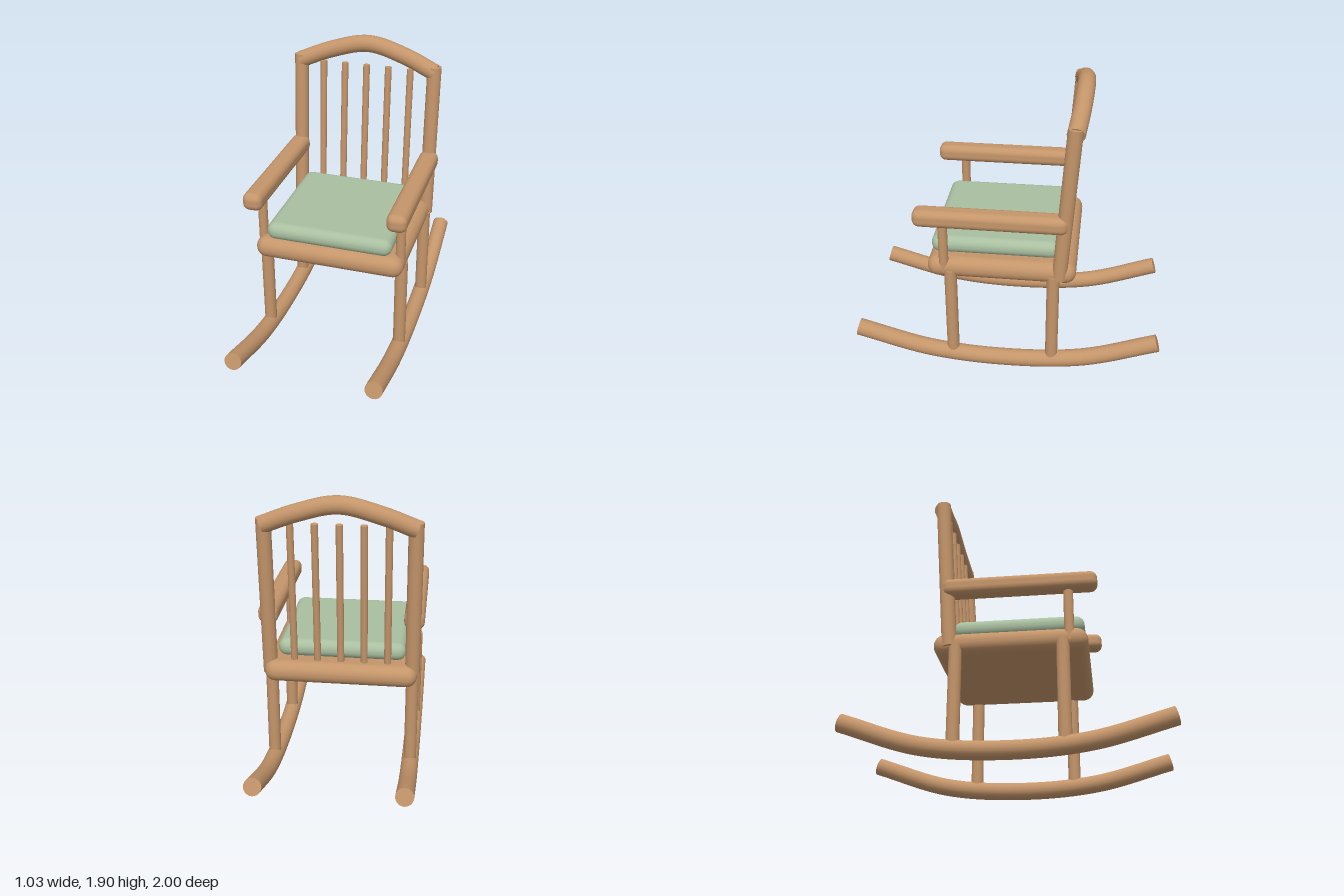
import * as THREE from 'three';
import { RoundedBoxGeometry } from 'three/addons/geometries/RoundedBoxGeometry.js';

const wood = new THREE.MeshStandardMaterial({ color: 0xc4956a });
const fabric = new THREE.MeshStandardMaterial({ color: 0xa9bfa0 });
const V = (x, y, z) => new THREE.Vector3(x, y, z);

export function createModel() {
  const chair = new THREE.Group();
  chair.name = 'rockingChair';

  const add = (name, geometry, material = wood) => {
    const mesh = new THREE.Mesh(geometry, material);
    mesh.name = name;
    chair.add(mesh);
    return mesh;
  };

  // Straight round bar between two points
  const bar = (name, a, b, radius) => {
    const mesh = add(name, new THREE.CylinderGeometry(radius, radius, a.distanceTo(b), 20));
    mesh.position.copy(a).add(b).multiplyScalar(0.5);
    mesh.quaternion.setFromUnitVectors(V(0, 1, 0), b.clone().sub(a).normalize());
  };

  // Bent round bar through points, closed by a disc at each end
  const bentBar = (name, points, radius) => {
    const curve = new THREE.CatmullRomCurve3(points);
    const tube = add(name, new THREE.TubeGeometry(curve, 48, radius, 20));
    for (const t of [0, 1]) {
      const cap = new THREE.Mesh(new THREE.CircleGeometry(radius, 20), wood);
      cap.name = name + 'End';
      cap.position.copy(curve.getPoint(t));
      cap.quaternion.setFromUnitVectors(V(0, 0, 1), curve.getTangent(t).multiplyScalar(t ? 1 : -1));
      tube.add(cap);
    }
  };

  // Rounded block given by its centre and size
  const block = (name, centre, [w, h, d], radius, material) => {
    add(name, new RoundedBoxGeometry(w, h, d, 5, radius), material).position.copy(centre);
  };

  // Seat and cushion
  block('seat', V(0, 0.74, 0.03), [0.96, 0.14, 0.94], 0.068);
  block('cushion', V(0, 0.865, 0.075), [0.81, 0.115, 0.81], 0.055, fabric);

  // Parts that come in pairs
  for (const [side, x] of [['left', 0.45], ['right', -0.45]]) {
    bentBar(side + 'Rocker', [
      V(x, 0.22, 0.985), V(x, 0.092, 0.5), V(x, 0.056, 0), V(x, 0.1, -0.5), V(x, 0.26, -0.98),
    ], 0.056);
    bar(side + 'FrontLeg', V(x, 0.06, 0.35), V(x, 0.73, 0.35), 0.04);
    bar(side + 'BackLeg', V(x, 0.06, -0.3), V(x, 0.73, -0.3), 0.04);
    bar(side + 'BackPost', V(x, 0.715, -0.337), V(x, 1.74, -0.406), 0.046);
    bar(side + 'ArmPost', V(x, 0.72, 0.39), V(x, 1.08, 0.39), 0.03);
    block(side + 'Armrest', V(x + Math.sign(x) * 0.003, 1.108, 0.093), [0.126, 0.115, 0.955], 0.045);
  }

  // Back spindles
  for (let i = -2; i <= 2; i++) {
    bar('spindle', V(i * 0.147, 0.76, -0.342), V(i * 0.147, 1.71, -0.4), 0.022);
  }

  // Arched top rail
  bentBar('topRail', [
    V(-0.455, 1.7, -0.408), V(-0.25, 1.782, -0.432), V(0, 1.84, -0.443),
    V(0.25, 1.782, -0.432), V(0.455, 1.7, -0.408),
  ], 0.055);

  return chair;
}
